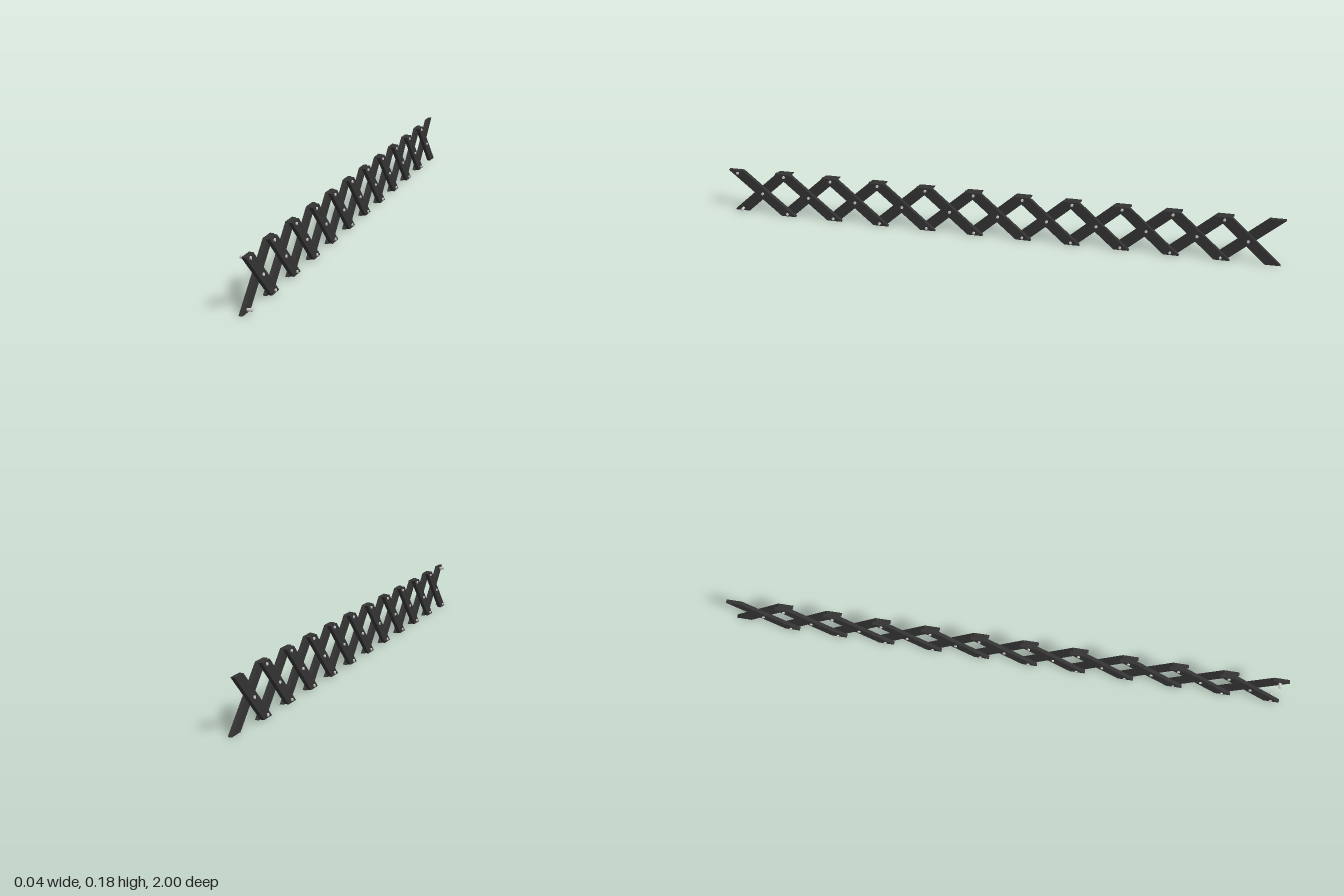
import * as THREE from 'three';

const CELLS = 11, PITCH = 0.176;       // crossings along z
const H = 0.177, MID = H / 2;          // overall height
const REACH = 0.0925, HALF = 0.0275;   // bar end offset and half width along z
const THICK = 0.0133;                  // thickness of one layer of bars
const PIN_R = 0.005, PIN_LEN = 0.035, PIN_Y = 0.0785;

// Slanted bar, cut level at both ends; dir = 1 puts its upper end at the front
function barGeometry(dir) {
  const shape = new THREE.Shape([
    [-REACH - HALF, -MID], [-REACH + HALF, -MID],
    [REACH + HALF, MID], [REACH - HALF, MID],
  ].map(([z, y]) => new THREE.Vector2(-z * dir, y)));
  const geo = new THREE.ExtrudeGeometry(shape, { depth: THICK, bevelEnabled: false });
  geo.rotateY(Math.PI / 2);            // shape x becomes -z, depth becomes +x
  geo.translate(dir > 0 ? 0 : -THICK, 0, 0);
  return geo;
}

export function createModel() {
  const group = new THREE.Group();
  group.name = 'scissorLattice';
  const barMat = new THREE.MeshStandardMaterial({ color: 0x333333 });
  const pinMat = new THREE.MeshStandardMaterial({ color: 0xcccccc });
  const leftBar = barGeometry(1), rightBar = barGeometry(-1);
  const pinGeo = new THREE.CylinderGeometry(PIN_R, PIN_R, PIN_LEN, 16).rotateZ(Math.PI / 2);

  const add = (name, geo, mat, y, z) => {
    const mesh = new THREE.Mesh(geo, mat);
    mesh.name = name;
    mesh.position.set(0, y, z);
    group.add(mesh);
  };

  for (let i = 0; i < CELLS; i++) {
    const z = ((CELLS - 1) / 2 - i) * PITCH;
    // crossed pair of bars, one in each layer
    add('leftBar', leftBar, barMat, MID, z);
    add('rightBar', rightBar, barMat, MID, z);
    // pivot at the crossing and at the front joints
    add('centrePin', pinGeo, pinMat, MID, z);
    add('upperPin', pinGeo, pinMat, MID + PIN_Y, z + PITCH / 2);
    add('lowerPin', pinGeo, pinMat, MID - PIN_Y, z + PITCH / 2);
  }
  return group;
}
